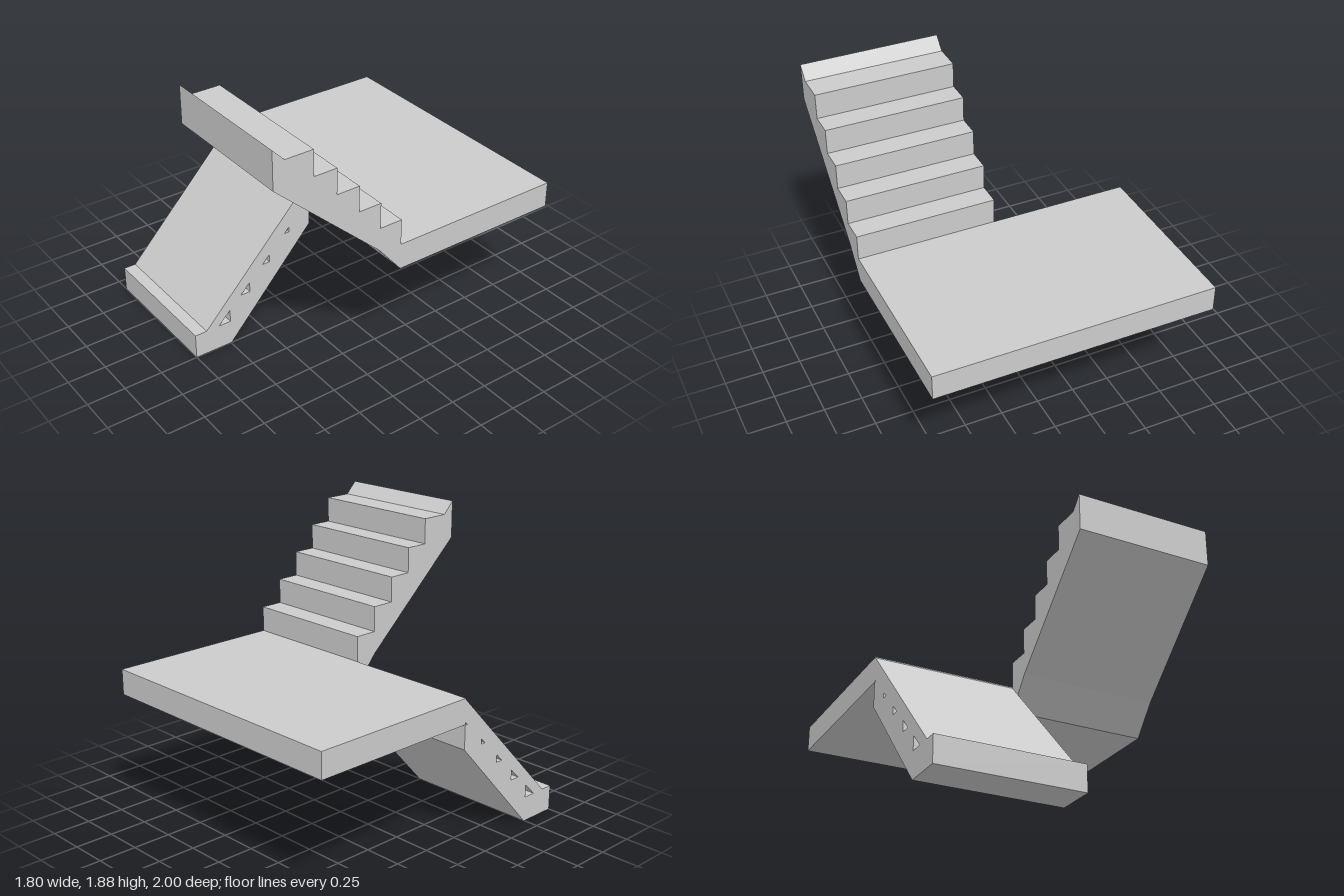
import * as THREE from 'three';

const WIDTH = 0.9, EDGE = 0.145, TREAD = 0.15, RISE = 0.163;
const material = new THREE.MeshStandardMaterial({ color: 0xcccccc, flatShading: true });
const toPoints = (pairs) => pairs.map(([z, y]) => new THREE.Vector2(z, y));

// Extrudes a (z, y) side profile across x, ending at xMax
function extrudeProfile(name, outline, holes, width, xMax) {
  const shape = new THREE.Shape(toPoints(outline));
  for (const hole of holes) shape.holes.push(new THREE.Path(toPoints(hole)));
  const geometry = new THREE.ExtrudeGeometry(shape, { depth: width, bevelEnabled: false });
  geometry.rotateY(-Math.PI / 2).translate(xMax, 0, 0);
  const mesh = new THREE.Mesh(geometry, material);
  mesh.name = name;
  return mesh;
}

export function createModel() {
  const group = new THREE.Group();
  group.name = 'staircase';

  // Half landing joining the two flights
  group.add(extrudeProfile('landing',
    [[-1, 0.82], [EDGE, 0.82], [EDGE, 0.985], [-1, 0.985]], [], 2 * WIDTH, WIDTH));

  // Lower flight: smooth ramp with shrinking triangular openings through it
  const openings = [];
  for (let i = 0; i < 5; i++) {
    const z = EDGE + 0.002 + (4 - i) * TREAD;
    const y = 0.165 + i * RISE;
    const size = 0.084 - i * 0.0165;
    openings.push([[z, y], [z, y + size], [z + size, y]]);
  }
  group.add(extrudeProfile('lowerFlight',
    [[1, 0], [1, 0.165], [0.92, 0.165], [EDGE, 0.977], [EDGE, 0.66], [0.745, 0]],
    openings, WIDTH, 0));

  // Upper flight: steps rising toward the front, with a sloped lip at the top
  const outline = [[EDGE, 0.82]];
  for (let i = 0; i < 5; i++) {
    const y = 1.15 + i * RISE;
    outline.push([EDGE + i * TREAD, y]);
    outline.push([i < 4 ? EDGE + (i + 1) * TREAD : 0.925, y]);
  }
  outline.push([1, 1.88], [1, 1.64], [0.3, 1.005]);
  group.add(extrudeProfile('upperFlight', outline, [], WIDTH, WIDTH));

  return group;
}
